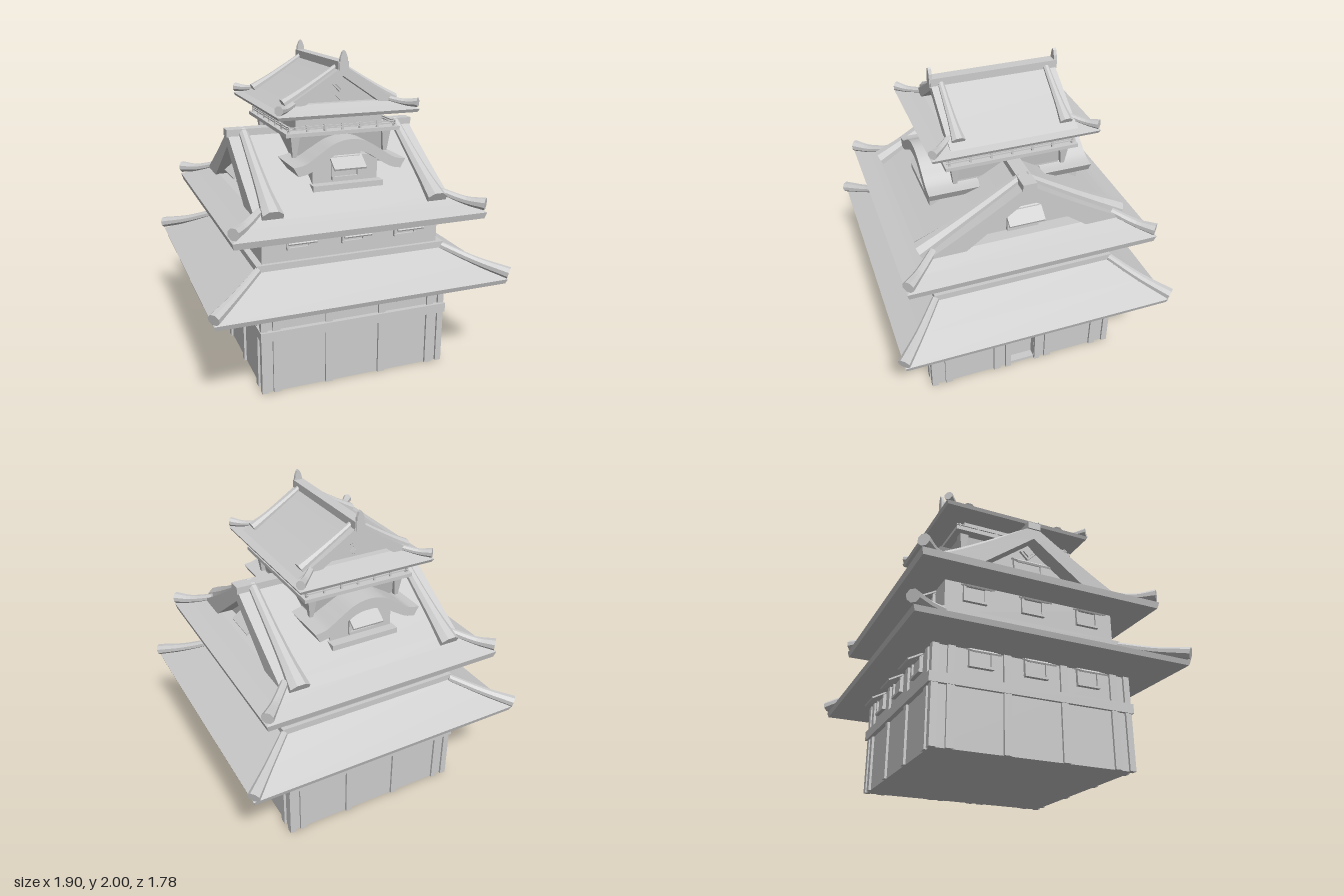
import * as THREE from 'three';

const mat = new THREE.MeshStandardMaterial({ color: 0xcccccc, flatShading: true, side: THREE.DoubleSide });

function add(parent, name, geo, x = 0, y = 0, z = 0) {
  const m = new THREE.Mesh(geo, mat);
  m.name = name;
  m.position.set(x, y, z);
  parent.add(m);
  return m;
}
function group(parent, name) {
  const g = new THREE.Group();
  g.name = name;
  parent.add(g);
  return g;
}
// box given by its size, its bottom height and its centre
const box = (p, name, w, h, d, x, y0, z) => add(p, name, new THREE.BoxGeometry(w, h, d), x, y0 + h / 2, z);

// skin over closed loops of points, capped at both ends
function loft(loops) {
  const n = loops[0].length, pos = [], idx = [];
  loops.forEach(l => l.forEach(p => pos.push(...p)));
  for (let i = 0; i < loops.length - 1; i++)
    for (let j = 0; j < n; j++) {
      const a = i * n + j, b = i * n + (j + 1) % n;
      idx.push(a, b, b + n, a, b + n, a + n);
    }
  const last = (loops.length - 1) * n;
  for (let j = 1; j < n - 1; j++) idx.push(0, j + 1, j, last, last + j, last + j + 1);
  const g = new THREE.BufferGeometry();
  g.setAttribute('position', new THREE.Float32BufferAttribute(pos, 3));
  g.setIndex(idx);
  const flat = g.toNonIndexed();
  flat.computeVertexNormals();
  return flat;
}
// rectangular rings [halfX, y, halfZ]
const rings = list => loft(list.map(([x, y, z]) => [[x, y, z], [x, y, -z], [-x, y, -z], [-x, y, z]]));

// flared ridge along a curve: stations are [x, y, z, halfWidth, halfHeight]
function ridge(stations) {
  const curve = new THREE.CatmullRomCurve3(stations.map(s => new THREE.Vector3(s[0], s[1], s[2])));
  const size = new THREE.CatmullRomCurve3(stations.map(s => new THREE.Vector3(s[3], s[4], 0)));
  const loops = [], steps = 8;
  for (let i = 0; i <= steps; i++) {
    const c = curve.getPoint(i / steps), t = curve.getTangent(i / steps), s = size.getPoint(i / steps);
    const side = new THREE.Vector3(0, 1, 0).cross(t).normalize();
    const up = t.clone().cross(side);
    loops.push(Array.from({ length: 8 }, (_, k) => {
      const a = (k + 0.5) * Math.PI / 4;
      return c.clone().addScaledVector(side, s.x * Math.cos(a)).addScaledVector(up, s.y * Math.sin(a)).toArray();
    }));
  }
  return loft(loops);
}
function eachCorner(fn) {
  for (const sx of [1, -1]) for (const sz of [1, -1]) fn(sx, sz);
}
const points = list => list.map(p => new THREE.Vector2(...p));
// extrusion of a (z, y) outline along x, centred
const extrudeX = (shape, length) => new THREE.ExtrudeGeometry(shape, { depth: length, bevelEnabled: false })
  .translate(0, 0, -length / 2).rotateY(Math.PI / 2);
const prismX = (list, length) => extrudeX(new THREE.Shape(points(list)), length);

// framed window with a propped shutter, facing +z at the origin
function windowUnit(parent, w = 0.15) {
  const g = group(parent, 'window');
  box(g, 'windowSill', w, 0.015, 0.03, 0, 0, 0.005);
  for (const s of [1, -1]) box(g, 'windowJamb', 0.015, 0.1, 0.025, s * (w / 2 - 0.008), 0, 0.003);
  box(g, 'windowHead', w, 0.015, 0.025, 0, 0.095, 0.003);
  box(g, 'windowPane', w - 0.02, 0.09, 0.008, 0, 0.01, 0);
  add(g, 'shutter', new THREE.BoxGeometry(w + 0.025, 0.01, 0.1), 0, 0.085, 0.045).rotation.x = 0.5;
  return g;
}
function windowRows(parent, hx, hz, y, stepX, stepZ) {
  for (let k = 0; k < 4; k++) for (const i of [-1, 0, 1]) {
    const face = group(parent, 'windowSide');
    face.rotation.y = k * Math.PI / 2;
    windowUnit(face).position.set(i * (k % 2 ? stepZ : stepX), y, k % 2 ? hx : hz);
  }
}

// hip-and-gable roof with its ridge along x
function gableRoof(parent, name, o) {
  const g = group(parent, name);
  const { ex, ez, y0, y1, gx, gz, gy, top, board, bargeX, bw } = o;
  const run = ex - o.inX, inZ = ez - run, midY = y1 + (o.inY - y1) * 0.47;
  add(g, 'eaves', rings([[o.inX, y0, inZ], [ex - 0.01, y0, ez - 0.01], [ex, y1, ez],
    [ex - run * 0.5, midY, ez - run * 0.5], [o.inX, o.inY, inZ]]));
  const slope = t => [gz * (1 - t), gy + (top - gy) * (0.9 * t + 0.1 * t * t)];
  const outer = [0, 0.2, 0.4, 0.6, 0.8, 1].map(slope);
  const full = [...outer, ...outer.slice(0, -1).reverse().map(([z, y]) => [-z, y])];
  const inner = [[-gz * 0.58, gy + 0.03], [0, top - board], [gz * 0.58, gy + 0.03]];
  add(g, 'gableSlopes', prismX([...full, [-gz, gy - 0.015], ...inner, [gz, gy - 0.015]], gx * 2));
  add(g, 'gableWall', prismX([[gz * 0.7, gy - 0.01], [0, top - board * 0.7], [-gz * 0.7, gy - 0.01]], o.wallX * 2));
  box(g, 'ridgeBeam', o.beamX * 2, o.beamTop - top + 0.03, o.beamW, 0, top - 0.03, 0);
  eachCorner((sx, sz) => {
    // ridge running down each gable edge, then the hip ridge to the corner
    const at = (t, w, h) => { const [z, y] = slope(t); return [sx * bargeX, y + h * 0.3, sz * z, w, h]; };
    add(g, 'gableRidge', ridge([at(0.11, bw, bw * 0.75), at(0.35, bw * 0.7, bw * 0.6), at(0.65, bw * 0.54, bw * 0.5), at(0.98, bw * 0.45, bw * 0.4)]));
    const r = o.tip;
    add(g, 'hipRidge', ridge([[sx * (o.inX - 0.02), o.inY + r * 0.4, sz * (inZ - 0.02), r * 0.6, r * 0.6],
      [sx * (ex - run * 0.5), midY + r * 0.5, sz * (ez - run * 0.5), r * 0.7, r * 0.7],
      [sx * (ex - 0.01), y1 + r * 1.3, sz * (ez - 0.01), r, r]]));
  });
  // diamond ornaments on both gables
  for (const s of [1, -1]) for (const [y, size] of o.diamonds)
    for (const [k, d] of [[1, 0.03], [0.65, 0.05]])
      add(g, 'diamond', new THREE.BoxGeometry(d, size * k, size * k), s * o.wallX, y, 0).rotation.x = Math.PI / 4;
  return g;
}

export function createModel() {
  const model = new THREE.Group();
  model.name = 'castleKeep';

  // ground storey with battens and belt, its doorway cut into the +x wall
  const base = group(model, 'groundStorey');
  box(base, 'groundWalls', 1.11, 0.6, 1.24, -0.035, 0, 0);
  const doorWall = new THREE.Shape(points([[-0.62, 0], [0.62, 0], [0.62, 0.6], [-0.62, 0.6]]));
  doorWall.holes.push(new THREE.Path(points([[-0.085, 0.02], [-0.085, 0.25], [0.085, 0.25], [0.085, 0.02]])));
  add(base, 'doorWall', extrudeX(doorWall, 0.07), 0.555);
  box(base, 'belt', 1.22, 0.06, 1.3, 0, 0.35, 0);
  eachCorner((sx, sz) => {
    box(base, 'cornerPost', 0.04, 0.59, 0.04, sx * 0.585, 0, sz * 0.615);
    for (const x of [0.175, 0.51]) box(base, 'batten', 0.045, 0.59, 0.03, sx * x, 0, sz * 0.62);
    for (const z of [0.182, 0.52]) box(base, 'batten', 0.03, 0.59, 0.045, sx * 0.59, 0, sz * z);
  });
  windowRows(base, 0.595, 0.625, 0.47, 0.345, 0.345);

  // door frame and half-height door leaf
  const door = group(model, 'doorway');
  for (const s of [1, -1]) box(door, 'doorJamb', 0.05, 0.27, 0.036, 0.583, 0, s * 0.104);
  box(door, 'doorLintel', 0.05, 0.025, 0.244, 0.583, 0.25, 0);
  box(door, 'doorLeaf', 0.02, 0.115, 0.17, 0.53, 0.02, 0);

  // first roof
  const roof1 = group(model, 'lowerRoof');
  add(roof1, 'lowerEaves', rings([[0.57, 0.58, 0.57], [0.915, 0.58, 0.845], [0.925, 0.61, 0.855],
    [0.77, 0.687, 0.72], [0.61, 0.77, 0.585]]));
  box(roof1, 'roofCollar', 1.22, 0.05, 1.17, 0, 0.76, 0);
  eachCorner((sx, sz) => add(roof1, 'hipRidge', ridge([[sx * 0.6, 0.78, sz * 0.578, 0.022, 0.025],
    [sx * 0.77, 0.705, sz * 0.722, 0.028, 0.028], [sx * 0.925, 0.655, sz * 0.86, 0.04, 0.037]])));

  // second storey
  const mid = group(model, 'middleStorey');
  box(mid, 'middleWalls', 1.14, 0.24, 1.12, 0, 0.79, 0);
  windowRows(mid, 0.572, 0.562, 0.88, 0.345, 0.375);

  // large roof with gables to the sides
  const roof2 = gableRoof(model, 'middleRoof', { ex: 0.79, ez: 0.78, y0: 1.0, y1: 1.04, inX: 0.6, inY: 1.122,
    gx: 0.62, gz: 0.72, gy: 1.055, top: 1.49, board: 0.095, wallX: 0.52, bargeX: 0.52, bw: 0.068,
    beamX: 0.63, beamTop: 1.505, beamW: 0.085, tip: 0.039, diamonds: [[1.34, 0.075]] });
  for (const s of [1, -1]) {
    const w = windowUnit(roof2, 0.2);
    w.position.set(s * 0.525, 1.13, 0);
    w.scale.y = 1.35;
    w.rotation.y = s * Math.PI / 2;
  }

  // curved-gable dormers, front and back
  const arch = new THREE.Shape();
  arch.moveTo(-0.355, 1.355);
  arch.splineThru(points([[-0.28, 1.37], [-0.2, 1.42], [-0.1, 1.48], [0, 1.5], [0.1, 1.48], [0.2, 1.42], [0.28, 1.37], [0.355, 1.355]]));
  arch.lineTo(0.325, 1.3);
  arch.splineThru(points([[0.26, 1.315], [0.18, 1.36], [0.09, 1.415], [0, 1.43], [-0.09, 1.415], [-0.18, 1.36], [-0.26, 1.315], [-0.325, 1.3]]));
  for (const s of [0, 1]) {
    const d = group(model, 'dormer');
    d.rotation.y = s * Math.PI;
    add(d, 'curvedGable', new THREE.ExtrudeGeometry(arch, { depth: 0.32, bevelEnabled: false, curveSegments: 12 }), 0, 0, 0.2);
    box(d, 'dormerWall', 0.42, 0.2, 0.23, 0, 1.18, 0.315);
    box(d, 'dormerGable', 0.2, 0.06, 0.23, 0, 1.37, 0.315);
    box(d, 'dormerLedge', 0.45, 0.035, 0.2, 0, 1.19, 0.39);
    const w = windowUnit(d, 0.18);
    w.position.set(0, 1.24, 0.43);
    w.scale.y = 1.3;
  }

  // top storey with balcony
  const upper = group(model, 'topStorey');
  box(upper, 'topWalls', 0.56, 0.35, 0.66, 0, 1.3, 0);
  add(upper, 'balconySupport', rings([[0.28, 1.38, 0.33], [0.3, 1.51, 0.36]]));
  eachCorner((sx, sz) => add(upper, 'bracket', rings([[0.012, 0, 0.012], [0.03, 0.14, 0.03]]), sx * 0.295, 1.375, sz * 0.345));
  box(upper, 'balconyFloor', 0.73, 0.022, 0.83, 0, 1.51, 0);
  for (const s of [1, -1]) {
    for (const y of [1.545, 1.558]) {
      box(upper, 'rail', 0.7, 0.007, 0.008, 0, y, s * 0.385);
      box(upper, 'rail', 0.008, 0.007, 0.81, s * 0.34, y, 0);
    }
    for (let i = -3; i <= 3; i++) {
      box(upper, 'railPost', 0.012, 0.04, 0.012, i * 0.113, 1.53, s * 0.385);
      box(upper, 'railPost', 0.012, 0.04, 0.012, s * 0.34, 1.53, i * 0.128);
    }
  }

  // top roof with gables to front and back
  const roof3 = gableRoof(model, 'topRoof', { ex: 0.515, ez: 0.445, y0: 1.63, y1: 1.65, inX: 0.375, inY: 1.692,
    gx: 0.39, gz: 0.4, gy: 1.662, top: 1.91, board: 0.06, wallX: 0.33, bargeX: 0.33, bw: 0.042,
    beamX: 0.395, beamTop: 1.935, beamW: 0.066, tip: 0.029, diamonds: [[1.8, 0.075], [1.73, 0.04]] });
  roof3.rotation.y = Math.PI / 2;
  const finial = [[-0.028, 1.88], [0.028, 1.88], [0.027, 1.92], [0.022, 1.96], [0.01, 1.99], [0, 2], [-0.01, 1.99], [-0.022, 1.96], [-0.027, 1.92]];
  for (const s of [1, -1]) add(roof3, 'finial', prismX(finial, 0.02), s * 0.39);

  return model;
}
